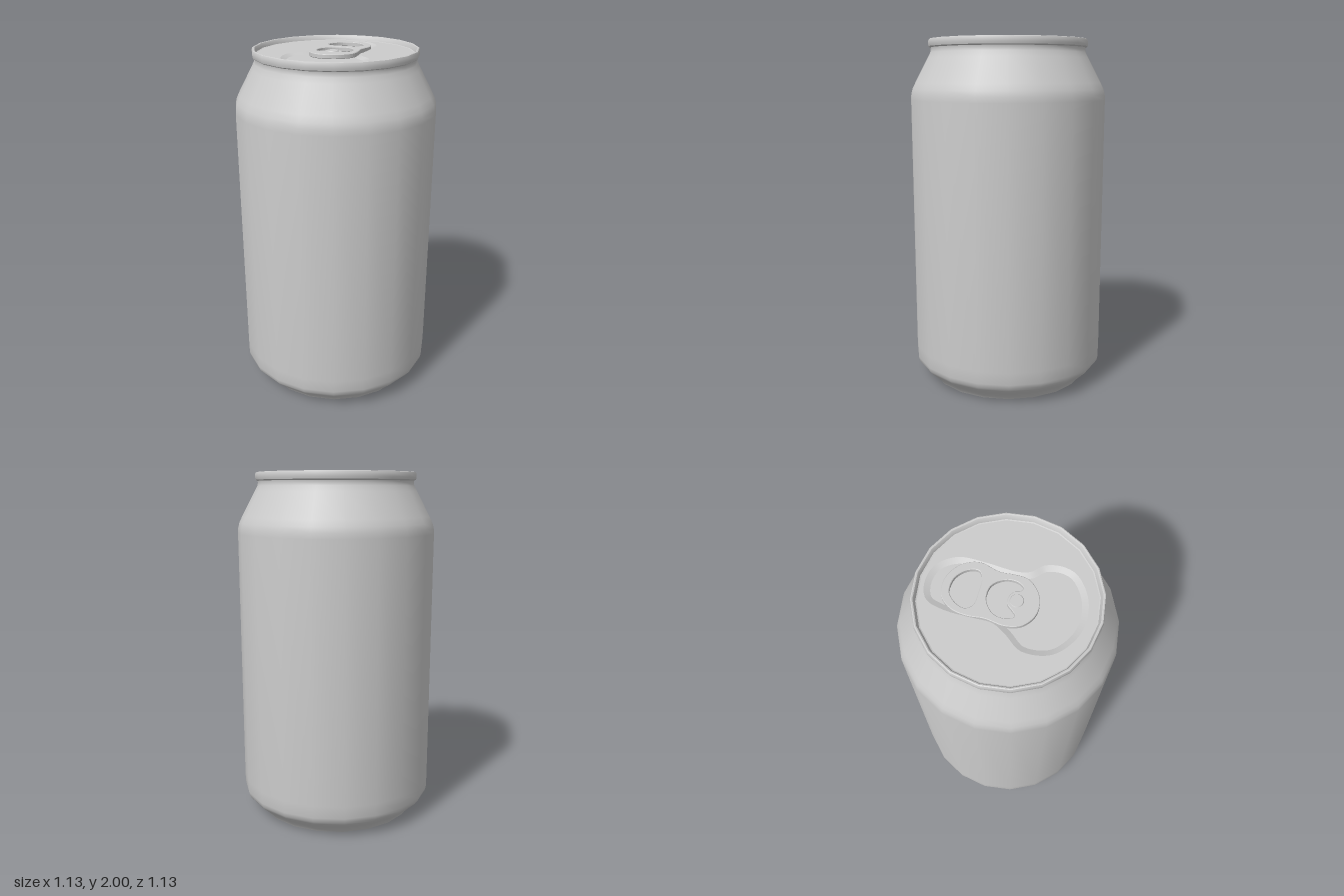
import * as THREE from 'three';
import { toCreasedNormals } from 'three/addons/utils/BufferGeometryUtils.js';

const SIDES = 20;
const PHASE = THREE.MathUtils.degToRad(5);
const LID_Y = 1.972, FLOOR_Y = 1.96, TAB_Y = 1.985, LID_R = 0.43;

const material = new THREE.MeshStandardMaterial({ color: 0xcccccc });

function part(name, geometry) {
  const mesh = new THREE.Mesh(geometry, material);
  mesh.name = name;
  return mesh;
}

// Smooth closed outline through [x, z] points, as counter-clockwise 2D points (y = -z)
function outline(points, divisions) {
  const curve = new THREE.CatmullRomCurve3(
    points.map(([x, z]) => new THREE.Vector3(x, -z, 0)), true, 'centripetal');
  const loop = curve.getPoints(divisions).slice(0, -1).map(p => new THREE.Vector2(p.x, p.y));
  return THREE.ShapeUtils.isClockWise(loop) ? loop.reverse() : loop;
}

// Move a counter-clockwise loop inwards by a distance
function inset(loop, distance) {
  const n = loop.length;
  return loop.map((p, i) => {
    const t = loop[(i + 1) % n].clone().sub(loop[(i + n - 1) % n]).normalize();
    return new THREE.Vector2(p.x - t.y * distance, p.y + t.x * distance);
  });
}

// Lay a geometry drawn in the xy plane flat at a height
const layFlat = (geometry, y) => geometry.rotateX(-Math.PI / 2).translate(0, y, 0);

// Sloping band between two loops
function band(outer, outerY, inner, innerY) {
  const n = outer.length, positions = [], index = [];
  for (let i = 0; i < n; i++) {
    positions.push(outer[i].x, outerY, -outer[i].y, inner[i].x, innerY, -inner[i].y);
    const a = 2 * i, b = 2 * ((i + 1) % n);
    index.push(a, b, b + 1, a, b + 1, a + 1);
  }
  const geometry = new THREE.BufferGeometry();
  geometry.setAttribute('position', new THREE.Float32BufferAttribute(positions, 3));
  geometry.setIndex(index);
  geometry.computeVertexNormals();
  return geometry;
}

export function createModel() {
  const can = new THREE.Group();
  can.name = 'can';

  // Base, wall, shoulder, neck and rolled rim in one profile
  const profile = [
    [0, 0.03], [0.25, 0.026], [0.44, 0.012], [0.455, 0], [0.465, 0],
    [0.478, 0.02], [0.505, 0.048], [0.545, 0.085], [0.56, 0.105], [0.566, 0.13],
    [0.567, 0.2], [0.567, 1.66], [0.565, 1.69], [0.557, 1.72], [0.54, 1.755],
    [0.465, 1.895], [0.45, 1.925], [0.446, 1.94], [0.448, 1.952], [0.458, 1.958],
    [0.461, 1.97], [0.461, 1.988], [0.457, 1.998], [0.452, 2], [0.446, 1.998],
    [0.44, 1.988], [0.436, 1.974], [LID_R, LID_Y],
  ].map(([r, y]) => new THREE.Vector2(r, y));
  const body = new THREE.LatheGeometry(profile, SIDES, PHASE);
  can.add(part('body', toCreasedNormals(body, 0.65)));

  // Lid plate, cut open over the pressed panel
  const panel = outline([
    [-0.37, 0.04], [-0.33, -0.09], [-0.21, -0.165], [-0.1, -0.145], [-0.02, -0.14],
    [0.06, -0.175], [0.2, -0.235], [0.3, -0.245], [0.365, -0.18], [0.385, -0.08],
    [0.33, 0.02], [0.2, 0.085], [0.06, 0.14], [0.01, 0.18], [-0.02, 0.25],
    [-0.09, 0.3], [-0.17, 0.31], [-0.28, 0.25], [-0.35, 0.15],
  ], 96);
  const lidEdge = Array.from({ length: SIDES }, (_, i) => {
    const a = PHASE + (i / SIDES) * Math.PI * 2;
    return new THREE.Vector2(LID_R * Math.sin(a), -LID_R * Math.cos(a));
  });
  const lid = new THREE.Shape(lidEdge);
  lid.holes.push(new THREE.Path(panel));
  can.add(part('lid', layFlat(new THREE.ShapeGeometry(lid), LID_Y)));

  // Pressed panel: sloping edge and floor
  const panelFloor = inset(panel, 0.03);
  can.add(part('panelEdge', band(panel, LID_Y, panelFloor, FLOOR_Y)));
  can.add(part('panelFloor', layFlat(new THREE.ShapeGeometry(new THREE.Shape(panelFloor)), FLOOR_Y)));

  // Pull tab with finger hole and crescent cut-out around the rivet
  const tab = new THREE.Shape(outline([
    [-0.155, 0], [-0.135, -0.07], [-0.075, -0.12], [0.02, -0.15], [0.09, -0.19],
    [0.17, -0.212], [0.25, -0.19], [0.3, -0.11], [0.29, -0.01], [0.23, 0.06],
    [0.12, 0.083], [0.06, 0.115], [-0.01, 0.14], [-0.09, 0.115], [-0.14, 0.06],
  ], 72));
  const fingerHole = outline([
    [0.105, -0.13], [0.125, -0.168], [0.175, -0.175], [0.235, -0.15], [0.265, -0.08],
    [0.245, -0.01], [0.2, 0.024], [0.165, 0.005], [0.13, -0.06],
  ], 40);
  const crescent = outline([
    [-0.083, -0.05], [-0.06, -0.085], [0.005, -0.105], [0.075, -0.07], [0.105, 0],
    [0.075, 0.065], [0.02, 0.095], [-0.02, 0.09], [-0.022, 0.068], [0, 0.045],
    [0.005, 0.01], [-0.015, -0.025], [-0.05, -0.035],
  ], 52);
  tab.holes.push(new THREE.Path(fingerHole), new THREE.Path(crescent));
  const tabBevel = 0.003;
  const tabGeometry = new THREE.ExtrudeGeometry(tab, {
    depth: TAB_Y - FLOOR_Y - 2 * tabBevel,
    bevelThickness: tabBevel, bevelSize: tabBevel, bevelOffset: -tabBevel, bevelSegments: 1,
  });
  can.add(part('pullTab', layFlat(tabGeometry, FLOOR_Y + tabBevel)));

  // Rivet holding the tab
  const rivet = part('rivet', new THREE.CylinderGeometry(0.031, 0.035, 0.006, 20));
  rivet.position.set(-0.04, TAB_Y + 0.002, 0.015);
  can.add(rivet);

  return can;
}
